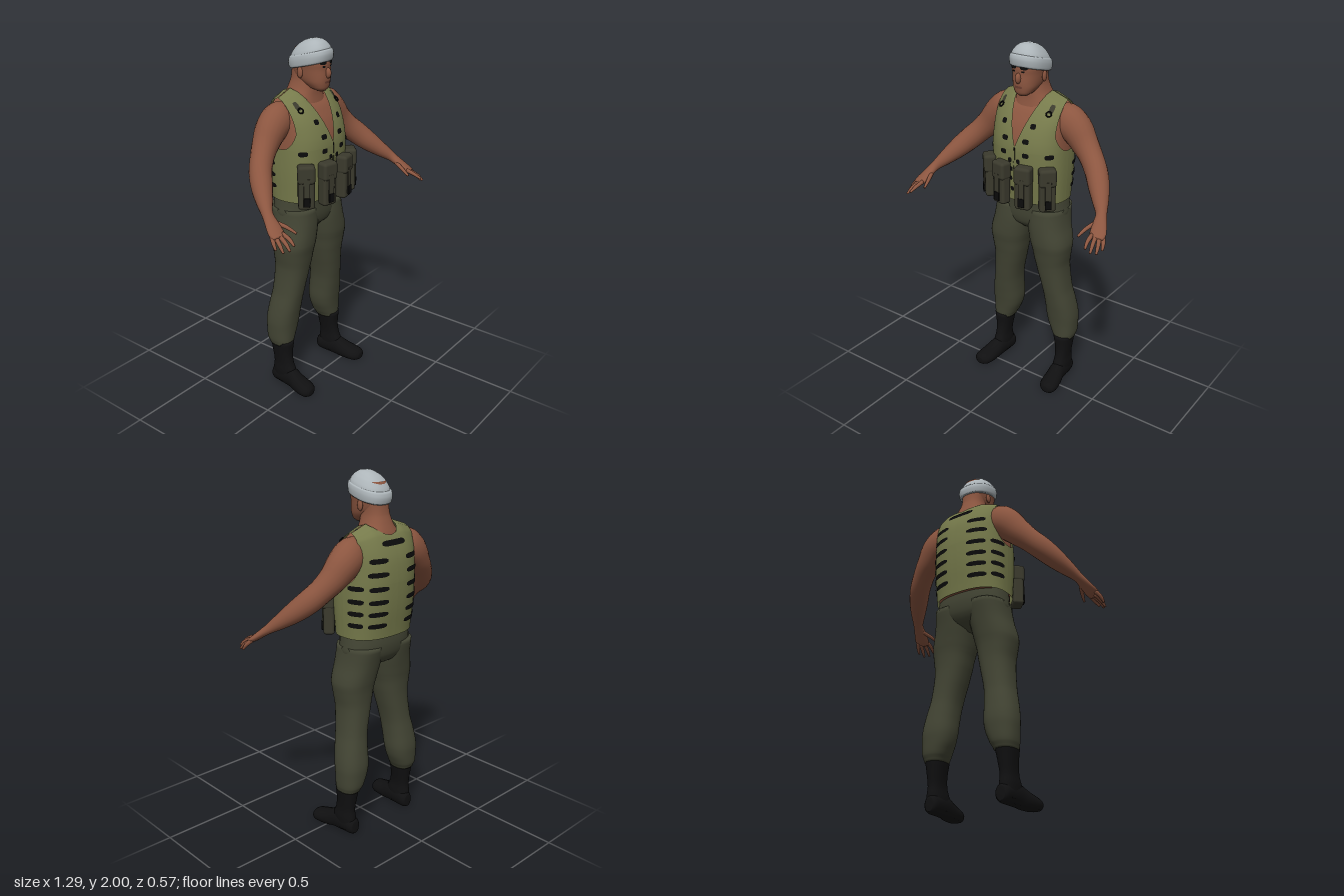
import * as THREE from 'three';
import { RoundedBoxGeometry } from 'three/addons/geometries/RoundedBoxGeometry.js';

const mat = (name, color) => new THREE.MeshStandardMaterial({ name, color });
const rad = THREE.MathUtils.degToRad;

// Catmull-Rom blend of key rows at fractional index s
function sample(keys, s) {
  const n = keys.length - 1, i = Math.min(Math.floor(s), n - 1), f = s - i;
  const k = j => keys[Math.max(0, Math.min(n, j))];
  return keys[0].map((_, c) => {
    const [a, b, d, e] = [k(i - 1)[c], k(i)[c], k(i + 1)[c], k(i + 2)[c]];
    return b + 0.5 * f * (d - a + f * (2 * a - 5 * b + 4 * d - e + f * (3 * (b - d) + e - a)));
  });
}

// Surface grid from fn(column, row); wrap closes the columns into a ring
function grid(fn, cols, rows, wrap = false) {
  const pos = [], idx = [], w = wrap ? cols : cols + 1;
  for (let j = 0; j <= rows; j++) for (let i = 0; i < w; i++) pos.push(...fn(i / cols, j));
  for (let j = 0; j < rows; j++) for (let i = 0; i < cols; i++) {
    const a = j * w + i, b = j * w + (i + 1) % w;
    idx.push(a, b, b + w, a, b + w, a + w);
  }
  const g = new THREE.BufferGeometry();
  g.setAttribute('position', new THREE.Float32BufferAttribute(pos, 3));
  g.setIndex(idx);
  g.computeVertexNormals();
  return g;
}

// Body section keys: [y, x min, x max, z front, z back], from bottom to top
const sym = rows => rows.map(([y, w, f, b]) => [y, -w, w, f, b]);
const spow = (v, p) => Math.sign(v) * Math.abs(v) ** p;

// Point on a body at angle t (0 = front, 90 = left) and height y
function point(keys, t, y, off = 0, p = 0.85) {
  let i = 0;
  while (i < keys.length - 2 && y > keys[i + 1][0]) i++;
  const f = Math.max(0, Math.min(1, (y - keys[i][0]) / (keys[i + 1][0] - keys[i][0])));
  const [, x0, x1, zf, zb] = sample(keys, i + f);
  return [(x0 + x1) / 2 + Math.max(0, (x1 - x0) / 2 + off) * spow(Math.sin(t), p), y,
    (zf + zb) / 2 + Math.max(0, (zf - zb) / 2 + off) * spow(Math.cos(t), p)];
}

// Closed upright body through its section keys
function loft(keys, off = 0, pt = point, cols = 32, sub = 4) {
  const n = (keys.length - 1) * sub;
  return grid((u, j) => {
    const s = Math.max(0, Math.min(n, j - 1)) / sub, i = Math.min(Math.floor(s), keys.length - 2);
    const y = keys[i][0] + (keys[i + 1][0] - keys[i][0]) * (s - i);
    const q = pt(keys, u * 2 * Math.PI, y, off);
    if (j > 0 && j < n + 2) return q;
    const a = pt(keys, 0, y, off), b = pt(keys, Math.PI, y, off);
    return [(a[0] + b[0]) / 2, y, (a[2] + b[2]) / 2];
  }, cols, n + 2, true);
}

// Closed tube through [x, y, z, horizontal radius, vertical radius]
function sweep(keys, cols = 20, sub = 4, axis = null) {
  const n = (keys.length - 1) * sub;
  return grid((u, j) => {
    const s = Math.max(0, Math.min(n, j - 1)) / sub, q = sample(keys, s);
    const c = new THREE.Vector3(q[0], q[1], q[2]);
    if (j === 0 || j === n + 2) return c.toArray();
    const last = keys.length - 1;
    const A = sample(keys, Math.max(0, s - 0.2)), B = sample(keys, Math.min(last, s + 0.2));
    const T = axis ?? new THREE.Vector3(B[0] - A[0], B[1] - A[1], B[2] - A[2]).normalize();
    const N = new THREE.Vector3(0, 1, 0).addScaledVector(T, -T.y).normalize();
    const S = N.clone().cross(T), t = u * 2 * Math.PI;
    return c.addScaledVector(S, q[3] * Math.cos(t)).addScaledVector(N, q[4] * Math.sin(t)).toArray();
  }, cols, n + 2, true);
}

// Torso, with the shoulders sloping away from the neck
const torso = sym([[1.155, 0.215, 0.053, -0.262], [1.3, 0.222, 0.068, -0.28], [1.42, 0.224, 0.074, -0.287],
  [1.5, 0.223, 0.066, -0.285], [1.58, 0.222, 0.04, -0.275], [1.65, 0.222, 0, -0.252],
  [1.7, 0.222, -0.045, -0.225], [1.73, 0.22, -0.09, -0.185], [1.745, 0.218, -0.138, -0.142]]);
function torsoPoint(keys, t, y, off = 0) {
  const q = point(keys, t, y, off, 0.8);
  q[1] -= 0.035 * Math.max(0, (Math.abs(q[0]) - 0.1) / 0.1) * Math.max(0, (y - 1.6) / 0.145);
  return q;
}

// Thin painted plate hugging a body, from angle a to b in degrees
const plate = (keys, pt, a, b, y, h, off = 0.004) => grid((u, j) => {
  const end = Math.min(1, 0.45 + 4 * Math.min(u, 1 - u));
  return pt(keys, rad(a + (b - a) * u), y + (j - 1) * h * end, off);
}, 10, 2);

export function createModel() {
  const root = new THREE.Group();
  const skin = mat('skin', 0x8c5640), lips = mat('lips', 0x6e4032), cloth = mat('vest cloth', 0x767a4b);
  const trouser = mat('trouser cloth', 0x434534), pouchCloth = mat('pouch cloth', 0x3b3a2d);
  const black = mat('black', 0x0b0b0b), boot = mat('boot leather', 0x101011), wool = mat('wool', 0xadb5b9);
  cloth.side = black.side = THREE.DoubleSide;

  const add = (name, geo, m, parent = root) => {
    const o = new THREE.Mesh(geo, m);
    o.name = name;
    parent.add(o);
    return o;
  };
  // A left part and its mirror image
  const pair = (name, geo, m) => {
    add(name + 'Left', geo, m);
    const g = geo.clone().scale(-1, 1, 1);
    g.setIndex([...geo.index.array].reverse());
    g.computeVertexNormals();
    add(name + 'Right', g, m);
  };

  // Trousers
  add('hips', loft(sym([[0.965, 0.04, -0.03, -0.15], [1.0, 0.14, 0.005, -0.21], [1.05, 0.212, 0.018, -0.24],
    [1.12, 0.212, 0.022, -0.25], [1.22, 0.2, 0.03, -0.24]])), trouser);
  pair('trouserLeg', loft([[0.265, 0.158, 0.272, -0.062, -0.2], [0.3, 0.14, 0.281, -0.06, -0.215],
    [0.36, 0.115, 0.284, -0.055, -0.222], [0.42, 0.103, 0.284, -0.047, -0.225], [0.5, 0.1, 0.272, -0.035, -0.215],
    [0.6, 0.09, 0.25, -0.02, -0.2], [0.75, 0.055, 0.237, 0, -0.195], [0.84, 0.036, 0.248, 0.014, -0.2],
    [0.9, 0.02, 0.252, 0.024, -0.21], [1.0, 0.002, 0.227, 0.024, -0.228], [1.1, 0.002, 0.214, 0.018, -0.248]]), trouser);

  // Boots
  pair('bootShaft', loft([[0.02, 0.178, 0.258, -0.04, -0.18], [0.09, 0.178, 0.262, -0.03, -0.182],
    [0.14, 0.182, 0.258, -0.05, -0.176], [0.2, 0.175, 0.262, -0.06, -0.183], [0.285, 0.16, 0.272, -0.055, -0.195]]), boot);
  const foot = sweep([[0.215, 0.04, -0.19, 0.025, 0.035], [0.215, 0.045, -0.17, 0.04, 0.05],
    [0.218, 0.05, -0.11, 0.044, 0.06], [0.222, 0.05, -0.05, 0.046, 0.062], [0.23, 0.037, 0, 0.052, 0.052],
    [0.238, 0.028, 0.06, 0.055, 0.042], [0.242, 0.026, 0.095, 0.045, 0.034], [0.243, 0.025, 0.113, 0.022, 0.018]],
  24, 4, new THREE.Vector3(0, 0, 1));
  const fp = foot.attributes.position;
  for (let i = 0; i < fp.count; i++) fp.setY(i, Math.max(0, fp.getY(i)));
  foot.computeVertexNormals();
  pair('bootFoot', foot, boot);

  // Chest, neck and arms
  add('chest', loft(torso.slice(0, 7), -0.012, torsoPoint), skin);
  add('neck', loft(sym([[1.64, 0.14, -0.025, -0.235], [1.7, 0.108, -0.035, -0.22], [1.74, 0.083, -0.038, -0.205],
    [1.79, 0.068, -0.042, -0.188], [1.86, 0.066, -0.05, -0.18]])), skin);
  pair('arm', sweep([[0.13, 1.605, -0.135, 0.055, 0.07], [0.19, 1.6, -0.138, 0.08, 0.095],
    [0.25, 1.56, -0.14, 0.082, 0.09], [0.31, 1.495, -0.13, 0.07, 0.076], [0.365, 1.44, -0.107, 0.062, 0.066],
    [0.42, 1.385, -0.07, 0.06, 0.064], [0.47, 1.33, -0.018, 0.055, 0.056], [0.515, 1.28, 0.037, 0.042, 0.042],
    [0.55, 1.24, 0.085, 0.029, 0.028], [0.567, 1.21, 0.125, 0.035, 0.022], [0.585, 1.175, 0.17, 0.042, 0.018],
    [0.593, 1.158, 0.198, 0.034, 0.012]]), skin);
  const fingers = {
    thumb: [[0.548, 1.21, 0.12], [0.522, 1.188, 0.185], [0.508, 1.163, 0.235]],
    indexFinger: [[0.563, 1.17, 0.19], [0.568, 1.155, 0.24], [0.578, 1.133, 0.278]],
    middleFinger: [[0.583, 1.165, 0.19], [0.597, 1.143, 0.24], [0.606, 1.115, 0.275]],
    ringFinger: [[0.6, 1.16, 0.18], [0.617, 1.135, 0.22], [0.626, 1.105, 0.25]],
    littleFinger: [[0.612, 1.168, 0.165], [0.63, 1.14, 0.192], [0.637, 1.113, 0.212]]
  };
  for (const [name, path] of Object.entries(fingers))
    pair(name, sweep(path.map((q, i) => [...q, ...[[0.012, 0.012], [0.0105, 0.0105], [0.006, 0.006]][i]]), 10), skin);

  // Head and face
  const head = sym([[1.735, 0.025, 0.015, -0.03], [1.75, 0.046, 0.028, -0.07], [1.78, 0.064, 0.034, -0.12],
    [1.81, 0.073, 0.036, -0.165], [1.85, 0.079, 0.034, -0.18], [1.89, 0.084, 0.034, -0.183], [1.95, 0.07, 0.01, -0.16]]);
  add('head', loft(head), skin);
  const nose = new THREE.SphereGeometry(1, 14, 10).scale(0.015, 0.028, 0.02);
  add('nose', nose, skin).position.set(0, 1.832, 0.036);
  add('mouth', plate(head, point, -16, 16, 1.785, 0.006, 0.002), lips);
  pair('eyebrow', plate(head, point, 6, 32, 1.888, 0.009, 0.003), black);
  pair('eye', plate(head, point, 10, 22, 1.868, 0.005, 0.002), black);
  for (const s of [1, -1]) {
    const ear = add(s > 0 ? 'earLeft' : 'earRight', new THREE.SphereGeometry(1, 12, 10).scale(0.01, 0.03, 0.018), skin);
    ear.position.set(s * 0.08, 1.832, -0.085);
  }

  // Knitted cap, lower at the back
  const tilt = g => {
    const p = g.attributes.position;
    for (let i = 0; i < p.count; i++) p.setY(i, p.getY(i) + 0.25 * (p.getZ(i) + 0.075));
    g.computeVertexNormals();
    return g;
  };
  add('capCrown', tilt(loft(sym([[1.9, 0.095, 0.038, -0.188], [1.935, 0.089, 0.03, -0.18], [1.965, 0.071, 0.01, -0.16],
    [1.985, 0.05, -0.015, -0.133], [1.996, 0.027, -0.045, -0.105], [2, 0.004, -0.071, -0.079]]))), wool);
  add('capBand', tilt(loft(sym([[1.863, 0.09, 0.034, -0.184], [1.87, 0.097, 0.042, -0.192], [1.9, 0.1, 0.046, -0.197],
    [1.922, 0.097, 0.041, -0.192], [1.929, 0.09, 0.032, -0.182]]))), wool);

  // Vest panels, cut away for the neck and the arms
  const heights = [1.155, 1.2, 1.25, 1.3, 1.35, 1.4, 1.45, 1.452, 1.46, 1.472, 1.49, 1.51, 1.54, 1.57, 1.6, 1.63, 1.66,
    1.68, 1.69, 1.7, 1.71, 1.72, 1.73, 1.738, 1.745];
  const armhole = y => 30 * Math.min(1, Math.sqrt(Math.max(0, y - 1.45) / 0.09));
  const innerAngle = x => THREE.MathUtils.radToDeg(Math.asin((x / 0.222) ** 1.25));
  const panel = (from, to) => grid((u, j) => {
    const y = heights[j], a = from(y), b = to(y);
    return torsoPoint(torso, rad(a + (b - a) * u), y);
  }, 16, heights.length - 1);
  pair('vestFront', panel(y => innerAngle(Math.max(0, y - 1.472) * 0.35), y => 90 - armhole(y)), cloth);
  pair('vestBack', panel(y => 90 + armhole(y), y => 180 - innerAngle(Math.sqrt(Math.max(0, y - 1.69) / 0.055) * 0.095)), cloth);

  // Webbing slots: [height, start angle, end angle]
  const slots = [[1.59, 15, 23], [1.51, 8, 17], [1.435, 9, 18], [1.435, 43, 60], [1.395, 2, 6], [1.345, 1, 5],
    [1.29, 2, 6], [1.225, 1, 5], [1.575, 137, 168], [1.505, 134, 168]];
  for (const y of [1.435, 1.365, 1.3, 1.235]) slots.push([y, 98, 127], [y - 0.005, 136, 168]);
  for (const [y, a, b] of slots) pair('vestSlot', plate(torso, torsoPoint, a, b, y, 0.013), black);
  add('upperBackSlot', plate(torso, torsoPoint, 164, 196, 1.655, 0.014), black);
  add('zip', plate(torso, torsoPoint, -0.5, 0.5, 1.313, 0.157, 0.002), black);
  pair('shoulderStrapTab', plate(torso, torsoPoint, 34, 43, 1.685, 0.022), pouchCloth);
  for (const s of [1, -1]) {
    const ring = add('shoulderRing', new THREE.TorusGeometry(0.014, 0.004, 6, 16), black);
    ring.position.set(s * 0.152, 1.655, -0.022);
    ring.rotation.set(-0.7, s * 0.3, 0);
  }

  // Four pouches across the belly
  for (const s of [1, -1]) for (const [x, z, turn] of [[0.073, 0.09, 0.2], [0.19, 0.04, 0.8]]) {
    const pouch = new THREE.Group();
    pouch.name = 'pouch';
    pouch.position.set(s * x, 1.262, z);
    pouch.rotation.y = s * turn;
    root.add(pouch);
    const box = (name, w, h, d, y, z, m) => add(name, new RoundedBoxGeometry(w, h, d, 2, Math.min(w, h, d) * 0.25), m, pouch)
      .position.set(0, y, z);
    box('pouchBody', 0.088, 0.235, 0.06, -0.003, 0, pouchCloth);
    box('pouchFlap', 0.094, 0.1, 0.07, 0.072, 0.002, pouchCloth);
    box('pouchStrap', 0.034, 0.15, 0.008, -0.02, 0.034, pouchCloth);
    box('pouchBuckle', 0.036, 0.05, 0.009, -0.075, 0.036, black);
  }
  return root;
}
